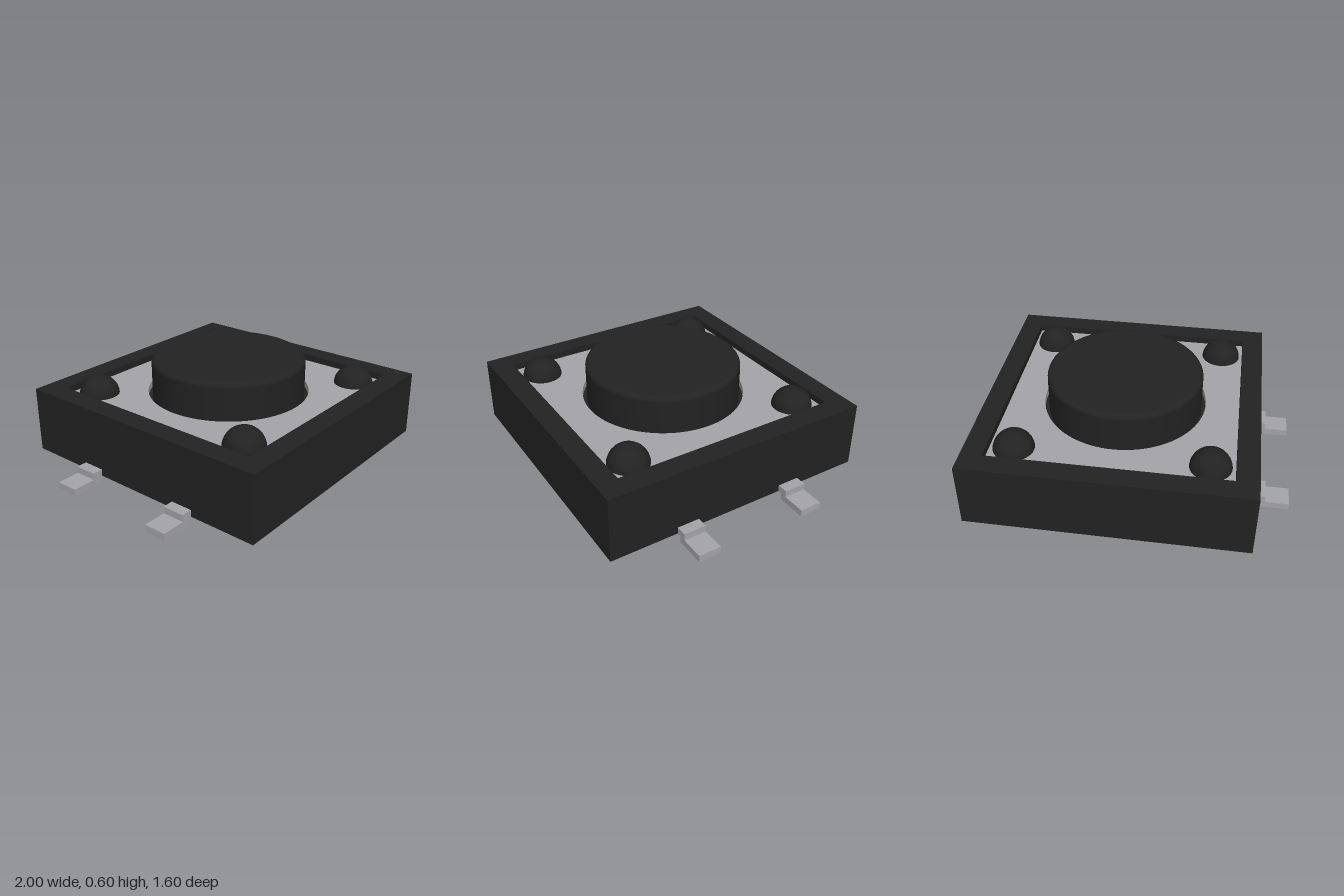
import * as THREE from 'three';

const plastic = new THREE.MeshStandardMaterial({ color: 0x222222 });
plastic.name = 'black plastic';
const metal = new THREE.MeshStandardMaterial({ color: 0xa5a5a9 });
metal.name = 'grey metal';

function add(parent, name, geometry, material, x = 0, y = 0, z = 0) {
  const mesh = new THREE.Mesh(geometry, material);
  mesh.name = name;
  mesh.position.set(x, y, z);
  parent.add(mesh);
  return mesh;
}

function square(half) {
  return [[-half, -half], [half, -half], [half, half], [-half, half]].map(([x, y]) => new THREE.Vector2(x, y));
}

// Horizontal slab with a hole, extruded upward from y = 0
function slab(half, hole, height) {
  const shape = new THREE.Shape(square(half));
  shape.holes.push(hole);
  return new THREE.ExtrudeGeometry(shape, { depth: height, bevelEnabled: false, curveSegments: 48 }).rotateX(-Math.PI / 2);
}

export function createModel() {
  const model = new THREE.Group();
  model.name = 'pushButtonSwitch';

  // Housing: solid base with a raised rim around the cover plate
  add(model, 'housingBase', new THREE.BoxGeometry(1.6, 0.31, 1.6), plastic, 0, 0.195, 0);
  add(model, 'housingRim', slab(0.8, new THREE.Path(square(0.675).reverse()), 0.08), plastic, 0, 0.35, 0);

  // Metal cover with a clearance hole for the button
  const hole = new THREE.Path().absarc(0, 0, 0.478, 0, Math.PI * 2, true);
  add(model, 'coverPlate', slab(0.675, hole, 0.04), metal, 0, 0.35, 0);

  // Round button with a filleted top edge
  const radius = 0.453, top = 0.6, fillet = 0.03;
  const profile = [new THREE.Vector2(radius, 0.35)];
  for (let i = 0; i <= 6; i++) {
    const a = (i / 6) * Math.PI / 2;
    profile.push(new THREE.Vector2(radius - fillet + fillet * Math.cos(a), top - fillet + fillet * Math.sin(a)));
  }
  profile.push(new THREE.Vector2(0, top));
  add(model, 'button', new THREE.LatheGeometry(profile, 64), plastic);

  // Domed rivets at the four corners
  const dome = new THREE.SphereGeometry(0.117, 32, 16);
  for (const x of [-0.54, 0.54]) {
    for (const z of [-0.54, 0.54]) add(model, 'rivet', dome, plastic, x, 0.383, z);
  }

  // Stepped solder legs, two per side
  const legShape = new THREE.Shape([
    [0.79, 0.04], [0.825, 0.04], [0.825, 0], [1, 0], [1, 0.04], [0.863, 0.04], [0.863, 0.08], [0.79, 0.08],
  ].map(([x, y]) => new THREE.Vector2(x, y)));
  const leg = new THREE.ExtrudeGeometry(legShape, { depth: 0.132, bevelEnabled: false }).translate(0, 0, -0.066);
  for (const z of [-0.335, 0.335]) {
    add(model, 'leftLeg', leg, metal, 0, 0, z);
    add(model, 'rightLeg', leg, metal, 0, 0, z).rotation.y = Math.PI;
  }
  return model;
}
